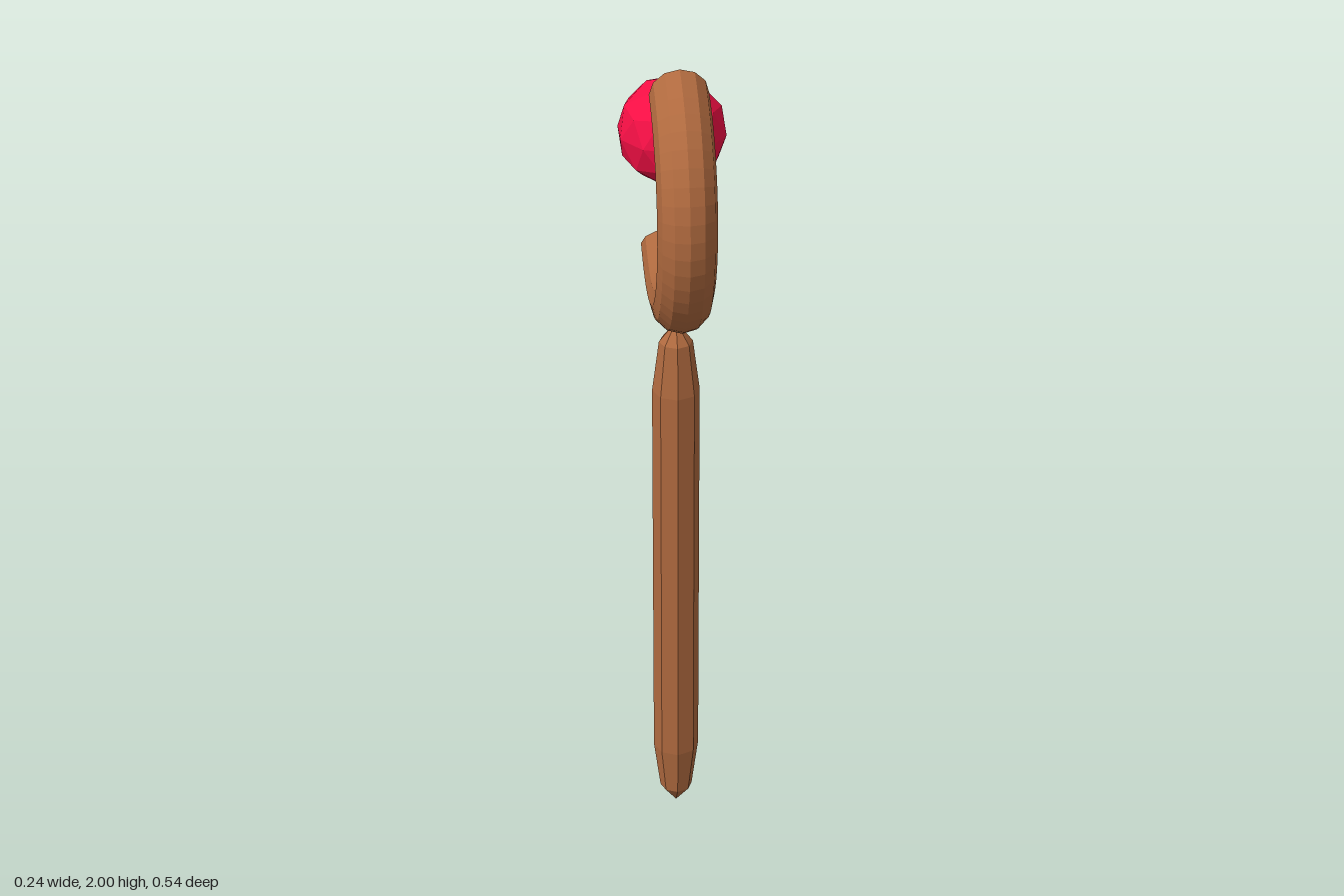
import * as THREE from 'three';

const brown = new THREE.MeshStandardMaterial({ color: 0xb06a3f, flatShading: true, side: THREE.DoubleSide });
const red = new THREE.MeshStandardMaterial({ color: 0xf50f45, flatShading: true });

export function createModel() {
  const model = new THREE.Group();
  const add = (name, geometry, material, y, z) => {
    const mesh = new THREE.Mesh(geometry, material);
    mesh.name = name;
    mesh.position.set(0, y, z);
    model.add(mesh);
    return mesh;
  };

  // Eight-sided shaft with a long blunt point at each end
  const profile = [[0, 0], [0.039, 0.05], [0.055, 0.175], [0.055, 1.175], [0.039, 1.3], [0, 1.35]]
    .map(([r, y]) => new THREE.Vector2(r, y));
  add('shaft', new THREE.LatheGeometry(profile, 8), brown, 0, -0.057);

  // Open-ended hook: part of a ring in the side plane, open towards the back
  const arc = 3.5;
  const hook = new THREE.TorusGeometry(0.26, 0.065, 12, 28, arc);
  hook.rotateZ(THREE.MathUtils.degToRad(74.2) - arc);
  hook.rotateY(-Math.PI / 2);
  add('hook', hook, brown, 1.685, -0.057);

  // Faceted orb floating in the opening, with one corner straight up
  const orb = new THREE.IcosahedronGeometry(0.124, 1);
  orb.rotateX(-Math.atan((1 + Math.sqrt(5)) / 2));
  orb.rotateY(Math.PI / 2);
  add('orb', orb, red, 1.78, -0.147);

  return model;
}
